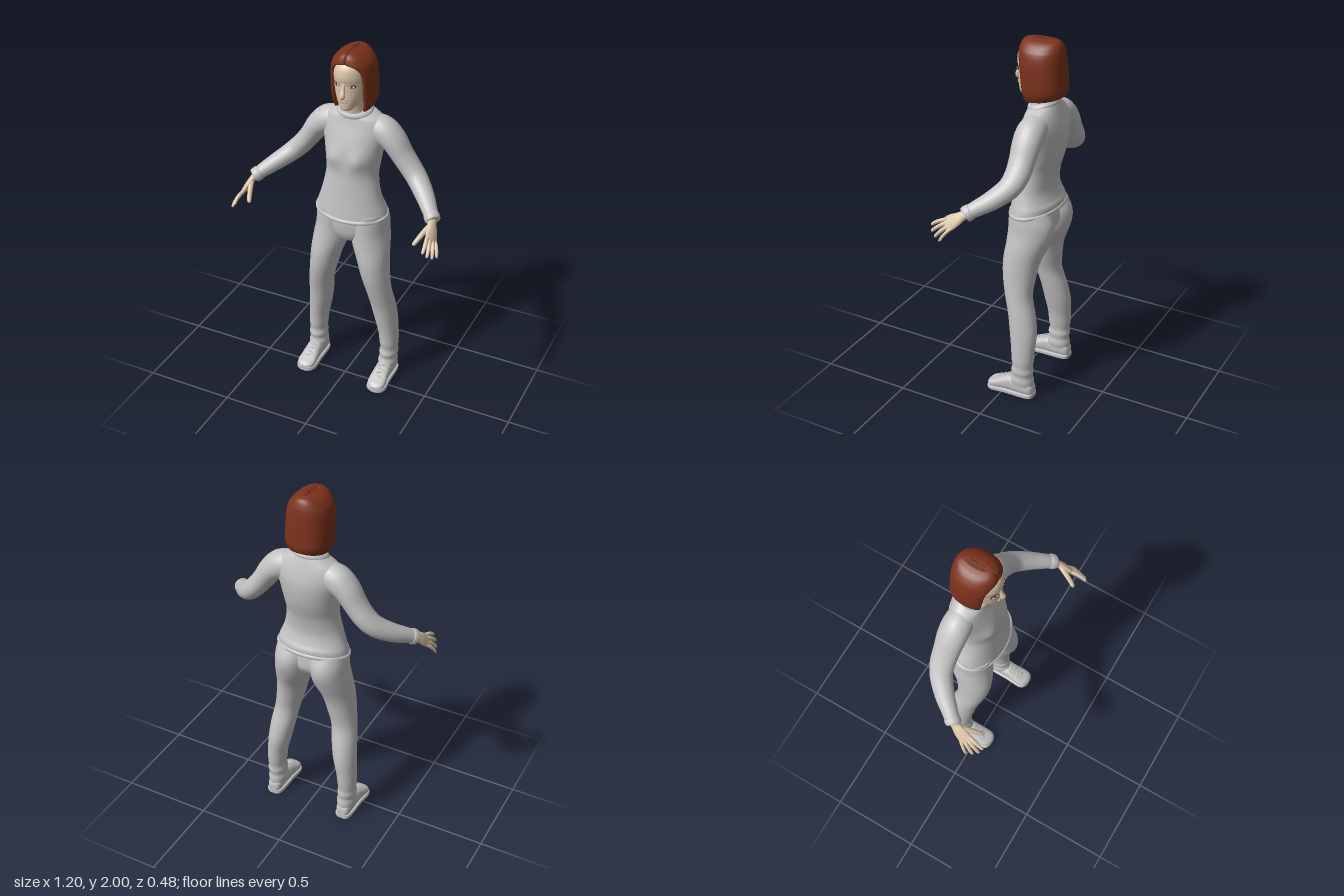
import * as THREE from 'three';

const V = (x, y, z) => new THREE.Vector3(x, y, z);
const paint = (name, hex) => {
  const m = new THREE.MeshStandardMaterial({ color: hex });
  m.name = name;
  return m;
};

// Catmull-Rom interpolation of rows of numbers
function smooth(rows, steps = 4) {
  const out = [];
  const at = (i) => rows[Math.min(Math.max(i, 0), rows.length - 1)];
  for (let i = 0; i < rows.length - 1; i++) {
    for (let s = 0; s < steps; s++) {
      const t = s / steps;
      out.push(rows[i].map((b, k) => {
        const a = at(i - 1)[k], c = at(i + 1)[k], d = at(i + 2)[k];
        return 0.5 * (2 * b + (c - a) * t + (2 * a - 5 * b + 4 * c - d) * t * t + (3 * b - a - 3 * c + d) * t ** 3);
      }));
    }
  }
  out.push(rows[rows.length - 1]);
  return out;
}

// Skin closed rings of points, with optional flat end caps
function skin(rings, capStart = true, capEnd = true) {
  const n = rings[0].length, pos = [], idx = [];
  rings.forEach((r) => r.forEach((p) => pos.push(p.x, p.y, p.z)));
  for (let i = 0; i < rings.length - 1; i++) {
    for (let j = 0; j < n; j++) {
      const a = i * n + j, b = i * n + (j + 1) % n;
      idx.push(a, b, b + n, a, b + n, a + n);
    }
  }
  const cap = (ring, flip) => {
    const base = pos.length / 3, c = V(0, 0, 0);
    ring.forEach((p) => { pos.push(p.x, p.y, p.z); c.addScaledVector(p, 1 / n); });
    pos.push(c.x, c.y, c.z);
    for (let j = 0; j < n; j++) {
      const a = base + j, b = base + (j + 1) % n;
      idx.push(base + n, flip ? b : a, flip ? a : b);
    }
  };
  if (capStart) cap(rings[0], true);
  if (capEnd) cap(rings[rings.length - 1], false);
  const g = new THREE.BufferGeometry();
  g.setAttribute('position', new THREE.Float32BufferAttribute(pos, 3));
  g.setIndex(idx);
  g.computeVertexNormals();
  return g;
}

const pw = (v, p) => Math.sign(v) * Math.abs(v) ** p;

// Upright body: rows of [y, centreX, halfWidth, frontZ, backZ, tilt]
function upright(rows, { n = 32, p = 1, bump = () => 0, steps = 4 } = {}) {
  return skin(smooth(rows, steps).map(([y, cx, rx, zf, zb, tilt = 0]) =>
    Array.from({ length: n }, (_, j) => {
      const t = (j / n) * Math.PI * 2, c = Math.cos(t);
      const x = cx + rx * pw(Math.sin(t), p);
      const z = (zf + zb) / 2 + ((zf - zb) / 2) * pw(c, p);
      return V(x, y + tilt * c, z + bump(x, y, c));
    })));
}

// Limb along a path: rows of [x, y, z, radiusAcross, radiusAlongRef]
function limb(rows, ref = V(0, 0, 1), n = 16, steps = 4) {
  const rs = smooth(rows, steps), pts = rs.map((r) => V(r[0], r[1], r[2]));
  return skin(rs.map((r, i) => {
    const d = pts[Math.min(i + 1, pts.length - 1)].clone().sub(pts[Math.max(i - 1, 0)]).normalize();
    const v = ref.clone().addScaledVector(d, -ref.dot(d)).normalize();
    const u = d.clone().cross(v);
    return Array.from({ length: n }, (_, j) => {
      const t = (j / n) * Math.PI * 2;
      return pts[i].clone().addScaledVector(u, r[3] * Math.sin(t)).addScaledVector(v, r[4] * Math.cos(t));
    });
  }));
}

const ball = (x, y, z, rx, ry, rz, turn = 0) =>
  new THREE.SphereGeometry(1, 20, 14).scale(rx, ry, rz).rotateY(turn).translate(x, y, z);

function mirrored(g) {
  const m = g.clone().scale(-1, 1, 1), a = m.index.array;
  for (let i = 0; i < a.length; i += 3) [a[i], a[i + 1]] = [a[i + 1], a[i]];
  return m;
}

export function createModel() {
  const model = new THREE.Group();
  const cloth = paint('grey cloth', 0xc2c2c2), skinTone = paint('skin', 0xdcc7aa);
  const hairColor = paint('auburn hair', 0x7c321c), dark = paint('dark hair line', 0x4c1c10);
  const white = paint('eye white', 0xe8e2da), lip = paint('lips', 0xc09a84);
  const add = (name, g, mat) => {
    const m = new THREE.Mesh(g, mat);
    m.name = name;
    model.add(m);
  };
  const both = (name, g, mat) => {
    add(name + 'Left', g, mat);
    add(name + 'Right', mirrored(g), mat);
  };

  // Sweater body, hem and collar
  add('sweater', upright([
    [1.073, 0, 0.203, 0.043, -0.215, -0.017], [1.11, 0, 0.195, 0.038, -0.215, -0.01],
    [1.15, 0, 0.18, 0.032, -0.2, 0], [1.21, 0, 0.162, 0.025, -0.185, 0],
    [1.3, 0, 0.146, 0.016, -0.197, 0], [1.36, 0, 0.15, 0.014, -0.215, 0],
    [1.41, 0, 0.156, 0.012, -0.228, 0], [1.47, 0, 0.167, 0.005, -0.236, 0],
    [1.53, 0, 0.182, -0.012, -0.236, 0], [1.58, 0, 0.186, -0.03, -0.225, 0],
    [1.62, 0, 0.165, -0.042, -0.212, 0], [1.647, 0, 0.12, -0.045, -0.198, -0.012],
    [1.66, 0, 0.085, -0.047, -0.19, -0.018],
  ], {
    n: 48,
    bump: (x, y, c) => c > 0 ? 0.02 * Math.exp(-(((Math.abs(x) - 0.075) / 0.05) ** 2) - ((y - 1.41) / 0.055) ** 2) : 0,
  }), cloth);
  add('sweaterHem', upright([
    [1.062, 0, 0.2, 0.04, -0.213, -0.017], [1.066, 0, 0.209, 0.049, -0.222, -0.017],
    [1.078, 0, 0.209, 0.049, -0.222, -0.017], [1.084, 0, 0.199, 0.04, -0.214, -0.017],
  ], { n: 48, steps: 2 }), cloth);
  add('collar', upright([
    [1.645, 0, 0.098, -0.04, -0.196, -0.018], [1.658, 0, 0.099, -0.037, -0.197, -0.018],
    [1.672, 0, 0.085, -0.043, -0.188, -0.018], [1.668, 0, 0.066, -0.05, -0.18, -0.018],
  ], { steps: 3 }), cloth);

  // Sleeves and cuffs
  both('sleeve', limb([
    [0.1, 1.575, -0.13, 0.07, 0.07], [0.16, 1.555, -0.131, 0.077, 0.078],
    [0.215, 1.512, -0.132, 0.067, 0.077], [0.265, 1.44, -0.133, 0.058, 0.07],
    [0.315, 1.376, -0.13, 0.055, 0.066], [0.365, 1.325, -0.11, 0.053, 0.06],
    [0.43, 1.275, -0.053, 0.047, 0.052], [0.48, 1.24, 0.005, 0.04, 0.043],
    [0.518, 1.212, 0.05, 0.034, 0.037],
  ], V(0, 0, 1), 24), cloth);
  both('cuff', limb([
    [0.5, 1.226, 0.028, 0.037, 0.039], [0.504, 1.223, 0.033, 0.041, 0.043],
    [0.518, 1.212, 0.05, 0.039, 0.042], [0.522, 1.209, 0.054, 0.033, 0.036],
  ], V(0, 0, 1), 24, 2), cloth);

  // Hands: palm, four fingers and thumb
  const across = V(0.47, -0.52, -0.71);
  both('palm', limb([
    [0.508, 1.222, 0.035, 0.02, 0.024], [0.522, 1.2, 0.067, 0.018, 0.027], [0.533, 1.178, 0.095, 0.017, 0.035],
    [0.542, 1.157, 0.122, 0.014, 0.039], [0.549, 1.14, 0.144, 0.01, 0.036], [0.551, 1.136, 0.15, 0.003, 0.025],
  ], across), skinTone);
  const finger = (a, b, r, lift) => {
    const at = (t, k, w) => [...a.clone().lerp(b, t).add(V(0.4, 0.9, 0).multiplyScalar(lift * w)).toArray(), r * k, r * k];
    return limb([at(0, 1, 0), at(0.35, 1.05, 0.8), at(0.7, 0.95, 0.8), at(0.94, 0.75, 0.1), at(1, 0.15, 0)], across, 10, 3);
  };
  const tips = [V(0.543, 1.12, 0.238), V(0.563, 1.095, 0.226), V(0.58, 1.076, 0.198), V(0.593, 1.066, 0.164)];
  tips.forEach((tip, i) => {
    const base = V(0.545, 1.15, 0.132).addScaledVector(across, -0.029 + i * 0.0193);
    both('finger' + (i + 1), finger(base, tip, i === 3 ? 0.009 : 0.0105, 0.008), skinTone);
  });
  both('thumb', finger(V(0.516, 1.195, 0.09), V(0.474, 1.13, 0.198), 0.0135, 0.006), skinTone);

  // Trousers
  add('hips', upright([
    [0.915, 0, 0.1, 0.0, -0.15], [0.95, 0, 0.15, 0.017, -0.18],
    [1.0, 0, 0.188, 0.025, -0.2], [1.09, 0, 0.192, 0.028, -0.19],
  ]), cloth);
  both('trouserLeg', upright([
    [0.07, 0.222, 0.05, -0.045, -0.178], [0.1, 0.222, 0.054, -0.04, -0.178], [0.13, 0.223, 0.049, -0.052, -0.172],
    [0.16, 0.224, 0.053, -0.048, -0.177], [0.19, 0.225, 0.049, -0.056, -0.173], [0.23, 0.224, 0.053, -0.05, -0.178],
    [0.3, 0.219, 0.056, -0.045, -0.182], [0.4, 0.205, 0.064, -0.03, -0.185], [0.5, 0.191, 0.069, -0.014, -0.167],
    [0.6, 0.176, 0.07, 0.012, -0.142], [0.7, 0.157, 0.078, 0.034, -0.15], [0.8, 0.139, 0.088, 0.04, -0.168],
    [0.9, 0.115, 0.103, 0.031, -0.208], [0.97, 0.107, 0.1, 0.026, -0.23], [1.03, 0.103, 0.1, 0.024, -0.228],
    [1.09, 0.1, 0.095, 0.02, -0.2],
  ]), cloth);

  // Shoes: rows of [z, halfWidth, top]
  const shoeRows = smooth([
    [-0.182, 0.018, 0.06], [-0.168, 0.037, 0.085], [-0.12, 0.044, 0.1], [-0.06, 0.045, 0.11], [-0.02, 0.046, 0.1],
    [0.02, 0.05, 0.08], [0.055, 0.052, 0.062], [0.082, 0.042, 0.05], [0.096, 0.016, 0.036],
  ], 3);
  const footX = (z) => 0.222 + 0.03 * Math.max(z, 0);
  const shoeSkin = (grow, bottom, topOf, p) => skin(shoeRows.map(([z, w, top]) =>
    Array.from({ length: 24 }, (_, j) => {
      const t = (j / 24) * Math.PI * 2, h = (topOf(top) - bottom) / 2;
      return V(footX(z) + (w + grow) * pw(Math.cos(t), p), bottom + h + h * pw(Math.sin(t), p), z * (1 + grow));
    })));
  both('shoeUpper', shoeSkin(0, 0.012, (t) => t, 0.75), cloth);
  both('shoeSole', shoeSkin(0.005, 0, () => 0.026, 0.3), cloth);
  for (let i = 0; i < 4; i++) {
    const z = -0.028 + i * 0.021, top = 0.108 - i * 0.0115, x = footX(z), s = i % 2 ? 0.007 : -0.007;
    both('shoeLace' + (i + 1), limb([
      [x - 0.032, top - 0.016, z - s, 0.004, 0.004], [x, top + 0.001, z, 0.005, 0.005],
      [x + 0.032, top - 0.016, z + s, 0.004, 0.004],
    ], V(0, 0, 1), 8), cloth);
  }

  // Neck and head
  add('neck', upright([[1.6, 0, 0.07, -0.06, -0.175], [1.67, 0, 0.056, -0.052, -0.167], [1.75, 0, 0.053, -0.035, -0.165]]), skinTone);
  add('head', upright([
    [1.694, 0, 0.018, 0.004, -0.03], [1.702, 0, 0.034, 0.017, -0.06], [1.73, 0, 0.057, 0.021, -0.13],
    [1.76, 0, 0.073, 0.021, -0.16], [1.8, 0, 0.084, 0.021, -0.18], [1.84, 0, 0.089, 0.021, -0.19],
    [1.88, 0, 0.09, 0.028, -0.195], [1.93, 0, 0.08, 0.017, -0.185], [1.965, 0, 0.045, -0.02, -0.14],
  ]), skinTone);
  add('nose', limb([
    [0, 1.855, 0.016, 0.007, 0.006], [0, 1.82, 0.024, 0.009, 0.009],
    [0, 1.79, 0.035, 0.014, 0.012], [0, 1.777, 0.032, 0.012, 0.012], [0, 1.77, 0.02, 0.005, 0.005],
  ]), skinTone);
  add('upperLip', ball(0, 1.759, 0.02, 0.026, 0.005, 0.009), lip);
  add('lowerLip', ball(0, 1.749, 0.019, 0.022, 0.006, 0.009), lip);
  both('eyeLine', ball(0.042, 1.838, 0.008, 0.021, 0.01, 0.006, 0.35), dark);
  both('eyeball', ball(0.042, 1.837, 0.01, 0.017, 0.0065, 0.007, 0.35), white);
  both('iris', ball(0.042, 1.837, 0.014, 0.0065, 0.0062, 0.0045, 0.35), dark);

  // Bob of hair with a face opening: rows of [y, halfWidth, frontZ, backZ, tilt, openingAngle]
  const hairRows = smooth([
    [1.69, 0.1, -0.015, -0.23, -0.02, 0.92], [1.73, 0.117, -0.003, -0.24, -0.014, 0.85],
    [1.8, 0.12, 0.005, -0.237, 0, 0.8], [1.87, 0.118, 0.012, -0.232, 0, 0.78],
    [1.91, 0.113, 0.013, -0.228, 0, 0.66], [1.935, 0.106, 0.012, -0.224, 0, 0.42],
    [1.95, 0.098, 0.01, -0.221, 0, 0], [1.975, 0.077, 0.002, -0.212, 0, 0],
    [1.991, 0.053, -0.012, -0.2, 0, 0], [2, 0.025, -0.035, -0.175, 0, 0],
  ], 5);
  const hairRing = ([y, rx, zf, zb, tilt, open], outer) => {
    const n = 40, ring = [], a = Math.max(open, 0);
    for (let j = 0; j < 2 * n; j++) {
      const k = j < n ? j : 2 * n - 1 - j, s = j < n ? outer : 0.84;
      const t = a + (k / (n - 1)) * 2 * (Math.PI - a);
      const c = Math.cos(t), p = 0.88;
      ring.push(V(s * rx * pw(Math.sin(t), p), y + tilt * c, (zf + zb) / 2 + s * ((zf - zb) / 2) * pw(c, p)));
    }
    return ring;
  };
  hairColor.side = THREE.DoubleSide;
  add('hair', skin([hairRing(hairRows[0], 0.84), ...hairRows.map((r) => hairRing(r, 1))], false, true), hairColor);
  add('hairParting', limb([
    [0, 1.948, 0.009, 0.002, 0.002], [0, 1.975, 0.002, 0.002, 0.002], [0, 1.991, -0.012, 0.002, 0.002],
    [0, 1.999, -0.035, 0.002, 0.002], [0, 1.999, -0.1, 0.002, 0.002], [0, 1.999, -0.165, 0.002, 0.002],
  ], V(1, 0, 0), 6), dark);
  return model;
}
